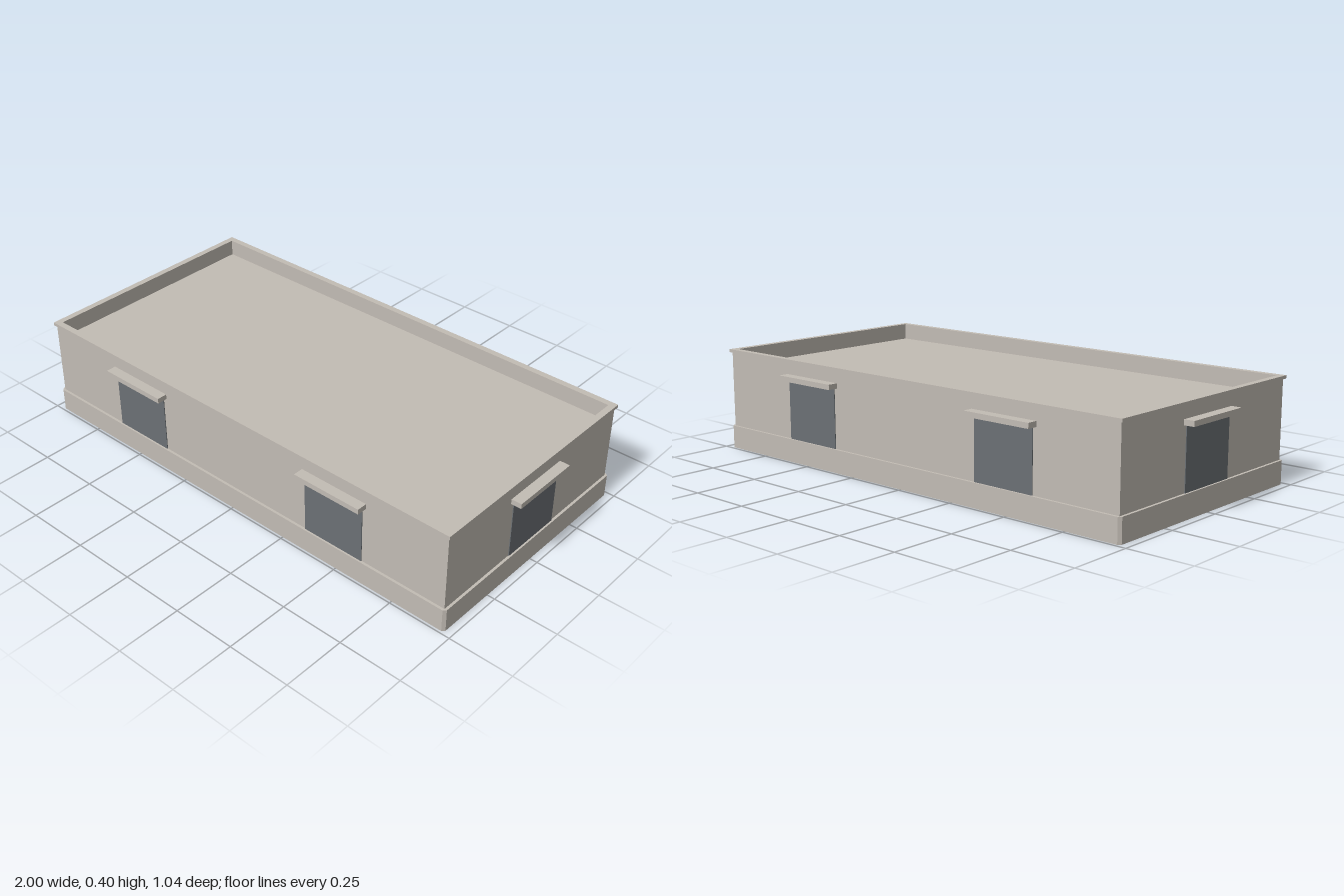
import * as THREE from 'three';

// Rectangular ring of eight corners with cut corners of size c
function ring([hx, hz, y, c = 0]) {
  return [
    [hx, hz - c], [hx, -hz + c], [hx - c, -hz], [-hx + c, -hz],
    [-hx, -hz + c], [-hx, hz - c], [-hx + c, hz], [hx - c, hz],
  ].map(([x, z]) => [x, y, z]);
}

// Skin between successive rings, with hard edges
function loft(sections) {
  const rings = sections.map(ring);
  const pos = [];
  for (let k = 0; k < rings.length - 1; k++) {
    for (let i = 0; i < 8; i++) {
      const j = (i + 1) % 8;
      const a = rings[k][i], b = rings[k][j], c = rings[k + 1][j], d = rings[k + 1][i];
      pos.push(...a, ...b, ...c, ...a, ...c, ...d);
    }
  }
  const geometry = new THREE.BufferGeometry();
  geometry.setAttribute('position', new THREE.Float32BufferAttribute(pos, 3));
  geometry.computeVertexNormals();
  return geometry;
}

export function createModel() {
  const concrete = new THREE.MeshStandardMaterial({ color: 0xc2bcb4, side: THREE.DoubleSide });
  concrete.name = 'concrete';
  const glass = new THREE.MeshStandardMaterial({ color: 0x6b7075 });
  glass.name = 'dark glass';

  const model = new THREE.Group();
  model.name = 'building';
  const add = (parent, name, geometry, material) => {
    const mesh = new THREE.Mesh(geometry, material);
    mesh.name = name;
    parent.add(mesh);
    return mesh;
  };

  // Open-bottomed shell, from the ground up
  add(model, 'plinth', loft([[0.97, 0.49, 0, 0.01], [0.97, 0.49, 0.09, 0.01], [0.96, 0.48, 0.09]]), concrete);
  add(model, 'walls', loft([[0.96, 0.48, 0.09], [0.96, 0.48, 0.388]]), concrete);
  add(model, 'coping', loft([
    [0.96, 0.48, 0.388], [0.968, 0.488, 0.388], [0.968, 0.488, 0.4], [0.943, 0.463, 0.4],
  ]), concrete);
  add(model, 'parapetInside', loft([[0.943, 0.463, 0.4], [0.943, 0.463, 0.335]]), concrete);

  // Flat roof sheet, also the ceiling
  const roof = add(model, 'roof', new THREE.PlaneGeometry(1.92, 0.96), concrete);
  roof.rotation.x = -Math.PI / 2;
  roof.position.y = 0.335;

  // Window with a projecting canopy, facing local +z from the wall plane
  const addWindow = (x, z, turn) => {
    const unit = new THREE.Group();
    unit.name = 'window';
    add(unit, 'pane', new THREE.BoxGeometry(0.256, 0.23, 0.004), glass).position.set(0, 0.205, 0.001);
    add(unit, 'canopy', new THREE.BoxGeometry(0.284, 0.02, 0.04), concrete).position.set(0, 0.331, 0.02);
    unit.position.set(x, 0, z);
    unit.rotation.y = turn;
    model.add(unit);
  };
  for (const s of [1, -1]) {
    for (const x of [-0.48, 0.48]) addWindow(x, s * 0.48, s > 0 ? 0 : Math.PI);
    addWindow(s * 0.96, 0, s * Math.PI / 2);
  }
  return model;
}
